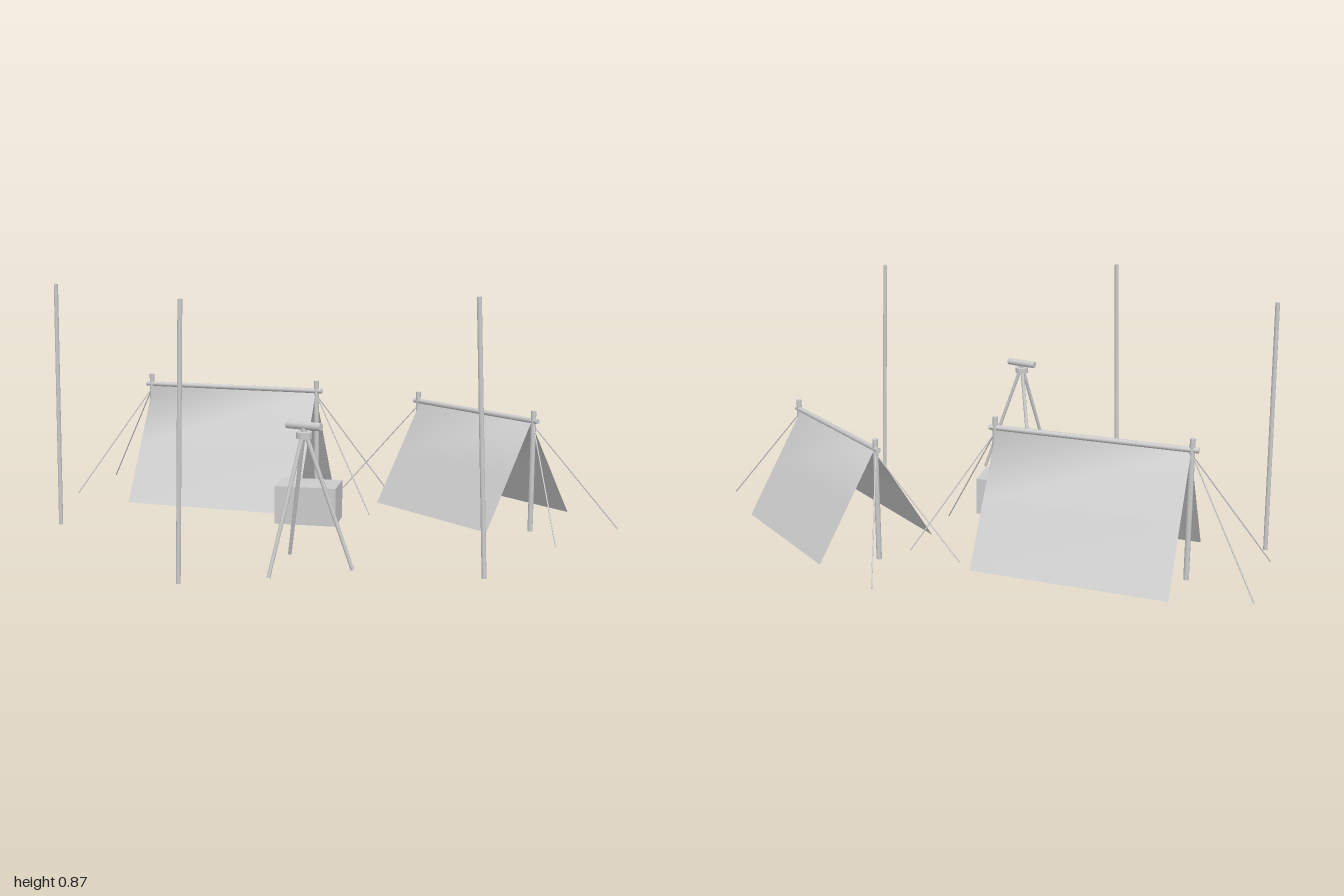
import * as THREE from 'three';

const material = new THREE.MeshStandardMaterial({ color: 0xcccccc });
const cloth = new THREE.MeshStandardMaterial({ color: 0xcccccc, side: THREE.DoubleSide });

function add(parent, name, geometry, mat = material) {
  const mesh = new THREE.Mesh(geometry, mat);
  mesh.name = name;
  parent.add(mesh);
  return mesh;
}

// Round rod between two points
function rod(parent, name, from, to, rTop, rBottom = rTop, sides = 10) {
  const a = new THREE.Vector3(...from), b = new THREE.Vector3(...to);
  const dir = b.clone().sub(a);
  const mesh = add(parent, name, new THREE.CylinderGeometry(rTop, rBottom, dir.length(), sides));
  mesh.position.copy(a).add(b).multiplyScalar(0.5);
  mesh.quaternion.setFromUnitVectors(new THREE.Vector3(0, 1, 0), dir.normalize());
  return mesh;
}

// Canvas sheet folded over the ridge, with smooth shading across the fold
function canvasGeometry(length, width, base, ridge) {
  const g = new THREE.PlaneGeometry(length, width, 1, 4);
  g.rotateX(-Math.PI / 2);
  const p = g.attributes.position;
  for (let i = 0; i < p.count; i++) {
    const t = Math.abs(p.getZ(i)) / (width / 2);
    p.setY(i, ridge + (base - ridge) * t);
  }
  g.computeVertexNormals();
  return g;
}

function makeTent({ name, x, z, turn, length, width, ridge, poleX, poleTop, ridgeHalf }) {
  const tent = new THREE.Group();
  tent.name = name;
  tent.position.set(x, 0, z);
  tent.rotation.y = turn;
  add(tent, 'canvas', canvasGeometry(length, width, 0.06, ridge), cloth);
  rod(tent, 'ridgePole', [-ridgeHalf, ridge + 0.006, 0], [ridgeHalf, ridge + 0.006, 0], 0.009);
  for (const s of [-1, 1]) {
    rod(tent, 'tentPole', [s * poleX, 0.03, 0], [s * poleX, poleTop, 0], 0.009);
    // Two guy ropes spread from each pole
    for (const side of [-1, 1]) {
      rod(tent, 'guyRope', [s * poleX, ridge - 0.01, 0],
        [s * (poleX + 0.242), 0.06, side * 0.164], 0.0022, 0.0022, 6);
    }
  }
  return tent;
}

function makeTripod() {
  const tripod = new THREE.Group();
  tripod.name = 'surveyTripod';
  tripod.position.set(0.243, 0, 0.498);
  // Splayed legs
  for (const deg of [-17, 107, -136]) {
    const a = THREE.MathUtils.degToRad(deg);
    const c = Math.cos(a), s = Math.sin(a);
    rod(tripod, 'leg', [c * 0.15, 0.042, s * 0.15], [c * 0.008, 0.45, s * 0.008], 0.007, 0.006, 8);
  }
  // Head, neck and sighting tube
  add(tripod, 'head', new THREE.CylinderGeometry(0.025, 0.025, 0.02, 14)).position.y = 0.455;
  add(tripod, 'neck', new THREE.CylinderGeometry(0.009, 0.009, 0.02, 10)).position.y = 0.471;
  rod(tripod, 'sightingTube', [-0.06, 0.483, -0.003], [0.056, 0.483, -0.003], 0.0125, 0.0125, 14);
  return tripod;
}

export function createModel() {
  const model = new THREE.Group();
  model.name = 'surveyCamp';

  model.add(makeTent({
    name: 'largeTent', x: -0.411, z: -0.155, turn: 0.2, length: 0.647, width: 0.485,
    ridge: 0.462, poleX: 0.327, poleTop: 0.505, ridgeHalf: 0.348,
  }));
  model.add(makeTent({
    name: 'smallTent', x: 0.46, z: -0.375, turn: -0.393, length: 0.536, width: 0.428,
    ridge: 0.41, poleX: 0.277, poleTop: 0.45, ridgeHalf: 0.296,
  }));

  // Supply crate
  const crate = add(model, 'crate', new THREE.BoxGeometry(0.212, 0.132, 0.136));
  crate.position.set(0.026, 0.126, 0.06);
  crate.rotation.y = 0.29;

  // Slightly leaning marker poles: foot x, top x, z
  for (const [foot, top, z] of [[-0.843, -0.827, 0.335], [-0.078, -0.053, 0.71], [0.727, 0.69, 0.226]]) {
    rod(model, 'markerPole', [foot, 0.002, z], [top, 0.868, z], 0.0075);
  }

  model.add(makeTripod());
  return model;
}
